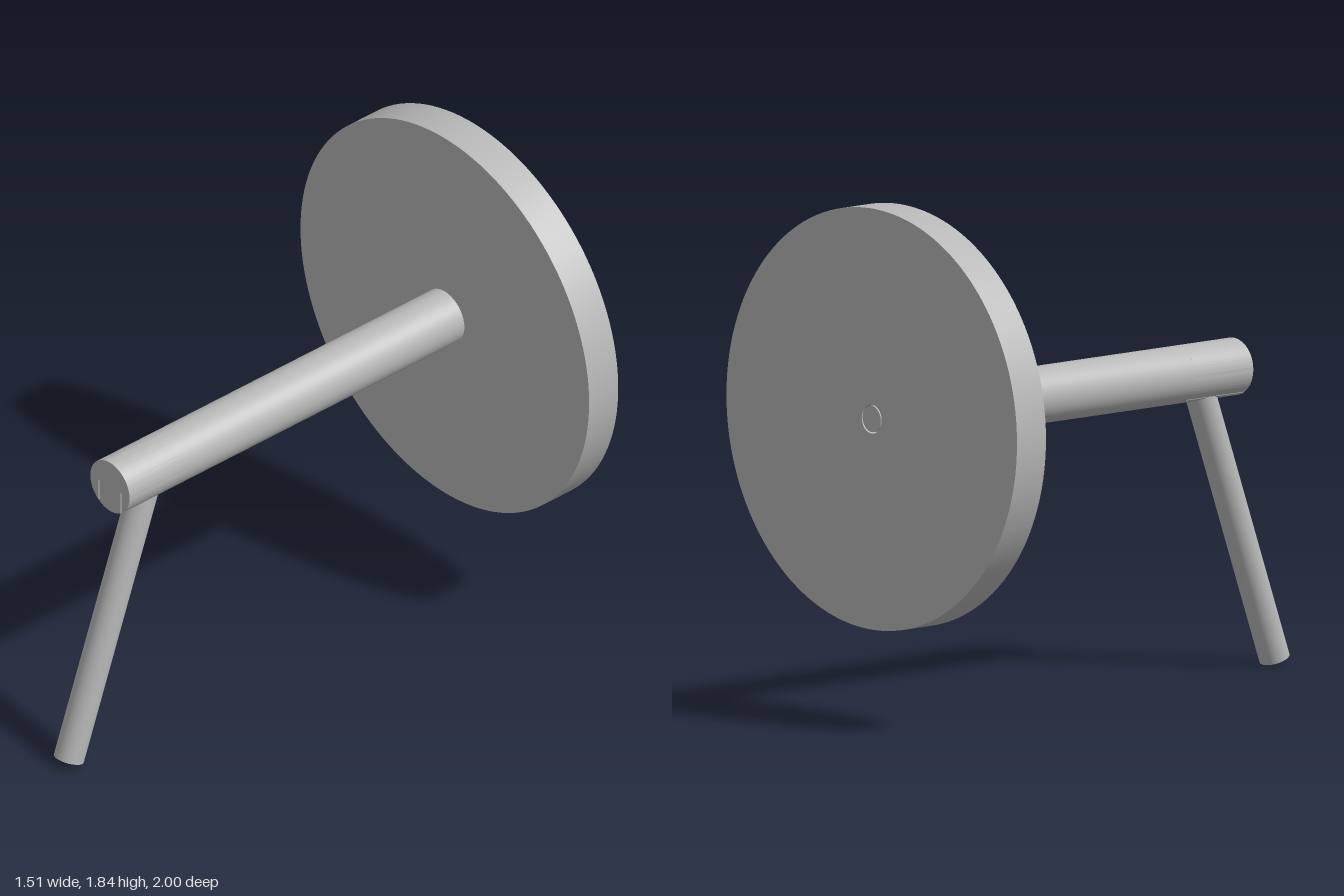
import * as THREE from 'three';
import { toCreasedNormals } from 'three/addons/utils/BufferGeometryUtils.js';

const AXIS_Y = 1.087;
const BAR_R = 0.1025;
const SLIT_Z = 0.47;

export function createModel() {
  const model = new THREE.Group();
  const grey = new THREE.MeshStandardMaterial({ color: 0xb8b8b8 });
  grey.name = 'plain grey';

  const add = (name, geometry, y, z, rotX = 0) => {
    const mesh = new THREE.Mesh(geometry, grey);
    mesh.name = name;
    mesh.position.set(0, y, z);
    mesh.rotation.x = rotX;
    model.add(mesh);
  };
  const extrude = (shape, depth) => toCreasedNormals(
    new THREE.ExtrudeGeometry(shape, { depth, bevelEnabled: false, curveSegments: 64 }), 0.5);
  const rod = (r, length) => new THREE.CylinderGeometry(r, r, length, 64);

  // Wheel disc with a bore for the axle pin
  const disc = new THREE.Shape().absarc(0, 0, 0.755, 0, Math.PI * 2);
  disc.holes.push(new THREE.Path().absarc(0, 0, 0.052, 0, Math.PI * 2, true));
  add('wheelDisc', extrude(disc, 0.14), AXIS_Y, -1);
  add('axlePin', rod(0.047, 0.15), AXIS_Y, -0.925, Math.PI / 2);

  // Main bar, solid behind the slit front end
  add('bar', rod(BAR_R, SLIT_Z + 0.86), AXIS_Y, (SLIT_Z - 0.86) / 2, Math.PI / 2);

  // Front end of the bar, with two narrow slits rising to its axis
  const onRim = (x) => Math.atan2(-Math.sqrt(BAR_R ** 2 - x ** 2), x);
  const inner = 0.055, outer = 0.059;
  const end = new THREE.Shape();
  end.absarc(0, 0, BAR_R, onRim(outer), onRim(-outer) + Math.PI * 2);
  end.lineTo(-outer, 0);
  end.lineTo(-inner, 0);
  end.absarc(0, 0, BAR_R, onRim(-inner), onRim(inner));
  end.lineTo(inner, 0);
  end.lineTo(outer, 0);
  end.closePath();
  add('barFrontEnd', extrude(end, 0.75 - SLIT_Z), AXIS_Y, SLIT_Z);

  // Slanted leg, its top buried in the bar
  const tilt = THREE.MathUtils.degToRad(20);
  const length = 1.09;
  add('leg', rod(0.055, length),
    0.019 + Math.cos(tilt) * length / 2, 0.948 - Math.sin(tilt) * length / 2, -tilt);

  return model;
}
